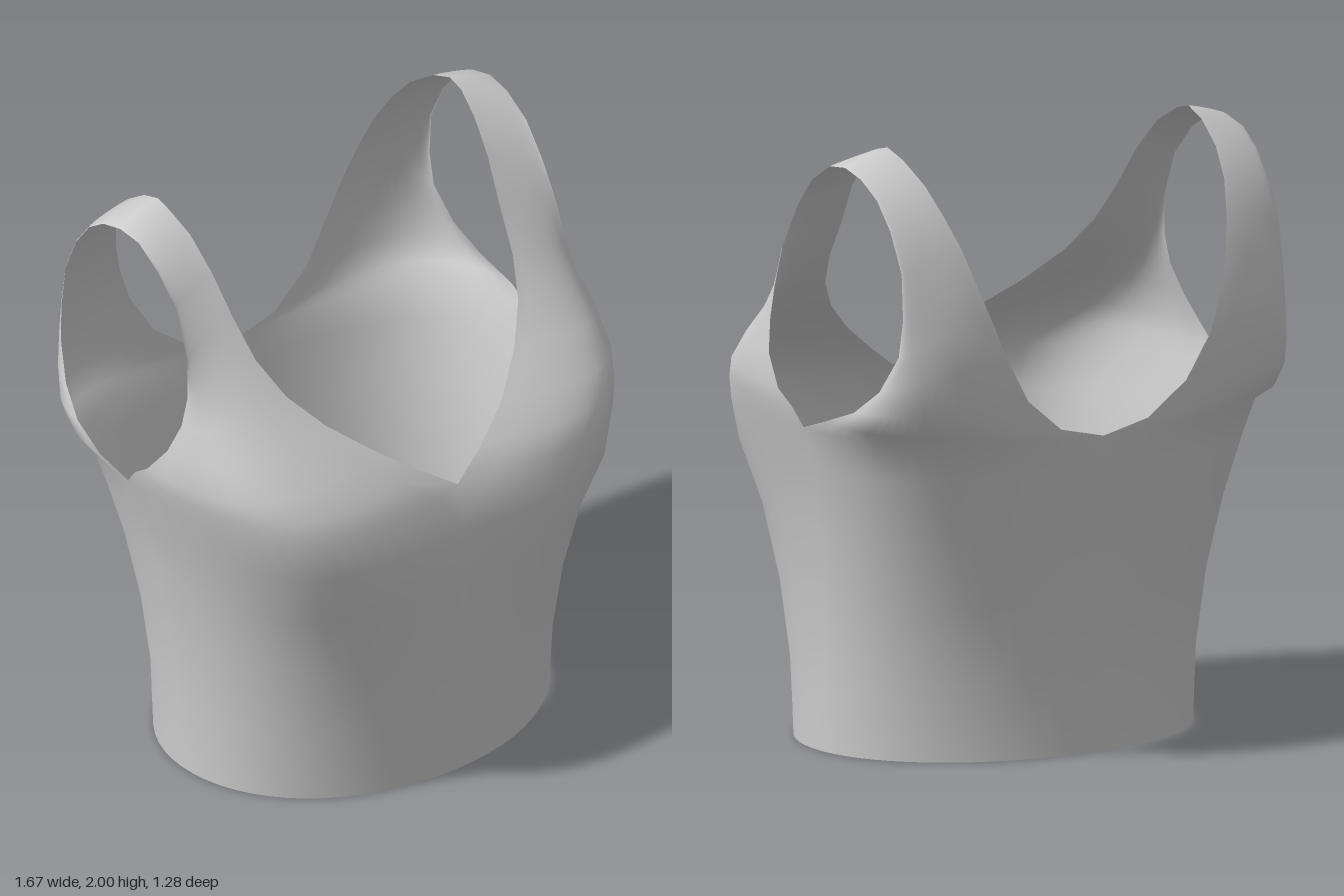
import * as THREE from 'three';
import { mergeVertices } from 'three/addons/utils/BufferGeometryUtils.js';

// Each rib runs from the centre line / neckline to the side seam / armhole:
// start x, y, z, end x, y, z, roundness, extra depth of the corner.
const FRONT = [
  [0, 0, 0.55, 0.68, 0, 0, 0.57, 0],
  [0, 0.25, 0.56, 0.68, 0.25, -0.02, 0.61, 0.01],
  [0, 0.5, 0.58, 0.7, 0.5, -0.04, 0.65, 0.03],
  [0, 0.75, 0.6, 0.735, 0.75, -0.07, 0.71, 0.07],
  [0, 0.95, 0.61, 0.78, 0.95, -0.09, 0.77, 0.13],
  [0, 1.09, 0.565, 0.82, 1.09, -0.1, 0.77, 0.18],
  [0.12, 1.17, 0.53, 0.83, 1.15, -0.05, 0.76, 0.16],
  [0.25, 1.26, 0.47, 0.835, 1.2, 0.02, 0.75, 0.13],
  [0.38, 1.36, 0.37, 0.815, 1.3, 0.1, 0.7, 0.09],
  [0.47, 1.46, 0.275, 0.785, 1.4, 0.135, 0.62, 0.04],
  [0.52, 1.57, 0.18, 0.765, 1.5, 0.14, 0.5, 0.02],
  [0.54, 1.69, 0.09, 0.75, 1.63, 0.12, 0.4, 0],
  [0.56, 1.83, 0, 0.74, 1.78, 0.05, 0.33, 0],
  [0.575, 1.93, -0.09, 0.745, 1.88, -0.04, 0.33, 0],
  [0.59, 1.985, -0.18, 0.745, 1.94, -0.14, 0.33, 0],
  [0.59, 2, -0.24, 0.75, 1.95, -0.23, 0.33, 0],
];
const BACK = [
  [0, 0, -0.52, 0.68, 0, 0, 0.57, 0],
  [0, 0.25, -0.505, 0.68, 0.25, -0.02, 0.6, 0],
  [0, 0.5, -0.525, 0.7, 0.5, -0.04, 0.62, -0.01],
  [0, 0.75, -0.56, 0.735, 0.75, -0.07, 0.66, -0.02],
  [0, 0.95, -0.59, 0.78, 0.95, -0.09, 0.7, -0.03],
  [0, 1.05, -0.605, 0.82, 1.09, -0.1, 0.72, -0.04],
  [0.17, 1.09, -0.61, 0.833, 1.13, -0.23, 0.72, -0.05],
  [0.31, 1.2, -0.625, 0.815, 1.18, -0.37, 0.68, -0.04],
  [0.4, 1.35, -0.635, 0.785, 1.26, -0.47, 0.6, -0.03],
  [0.45, 1.48, -0.62, 0.755, 1.38, -0.535, 0.5, -0.02],
  [0.49, 1.6, -0.59, 0.745, 1.5, -0.545, 0.4, -0.01],
  [0.52, 1.71, -0.55, 0.74, 1.65, -0.53, 0.35, 0],
  [0.55, 1.81, -0.495, 0.742, 1.78, -0.47, 0.33, 0],
  [0.57, 1.9, -0.42, 0.745, 1.87, -0.4, 0.33, 0],
  [0.585, 1.97, -0.32, 0.75, 1.925, -0.32, 0.33, 0],
  [0.59, 2, -0.24, 0.75, 1.95, -0.23, 0.33, 0],
];
const COLS = 16;

// Rounded cross-curve pulled towards the corner between its two ends
function ribPoints([x0, y0, z0, x1, y1, z1, round, extra]) {
  const a = new THREE.Vector3(x0, y0, z0);
  const b = new THREE.Vector3(x1, y1, z1);
  const corner = new THREE.Vector3(x1, (y0 + y1) / 2, z0 + extra);
  return new THREE.CubicBezierCurve3(
    a, a.clone().lerp(corner, round), b.clone().lerp(corner, round), b,
  ).getPoints(COLS);
}

// Skins one quarter of the garment, mirrored to either side
function addPanel(ribs, side, flip, positions, indices) {
  const base = positions.length / 3;
  for (const rib of ribs) {
    for (const p of ribPoints(rib)) positions.push(p.x * side, p.y, p.z);
  }
  for (let i = 0; i < ribs.length - 1; i++) {
    for (let j = 0; j < COLS; j++) {
      const a = base + i * (COLS + 1) + j;
      const b = a + 1, c = b + COLS + 1, d = c - 1;
      if (flip) indices.push(a, c, b, a, d, c);
      else indices.push(a, b, c, a, c, d);
    }
  }
}

export function createModel() {
  const positions = [], indices = [];
  for (const side of [1, -1]) {
    addPanel(FRONT, side, side < 0, positions, indices);
    addPanel(BACK, side, side > 0, positions, indices);
  }

  // Weld the quarters along the seams so the shading runs through
  let geometry = new THREE.BufferGeometry();
  geometry.setAttribute('position', new THREE.Float32BufferAttribute(positions, 3));
  geometry.setIndex(indices);
  geometry = mergeVertices(geometry, 1e-4);
  geometry.computeVertexNormals();

  const top = new THREE.Mesh(geometry, new THREE.MeshStandardMaterial({
    color: 0xcccccc, side: THREE.DoubleSide,
  }));
  top.name = 'sleevelessTop';

  const group = new THREE.Group();
  group.name = 'garment';
  group.add(top);
  return group;
}
